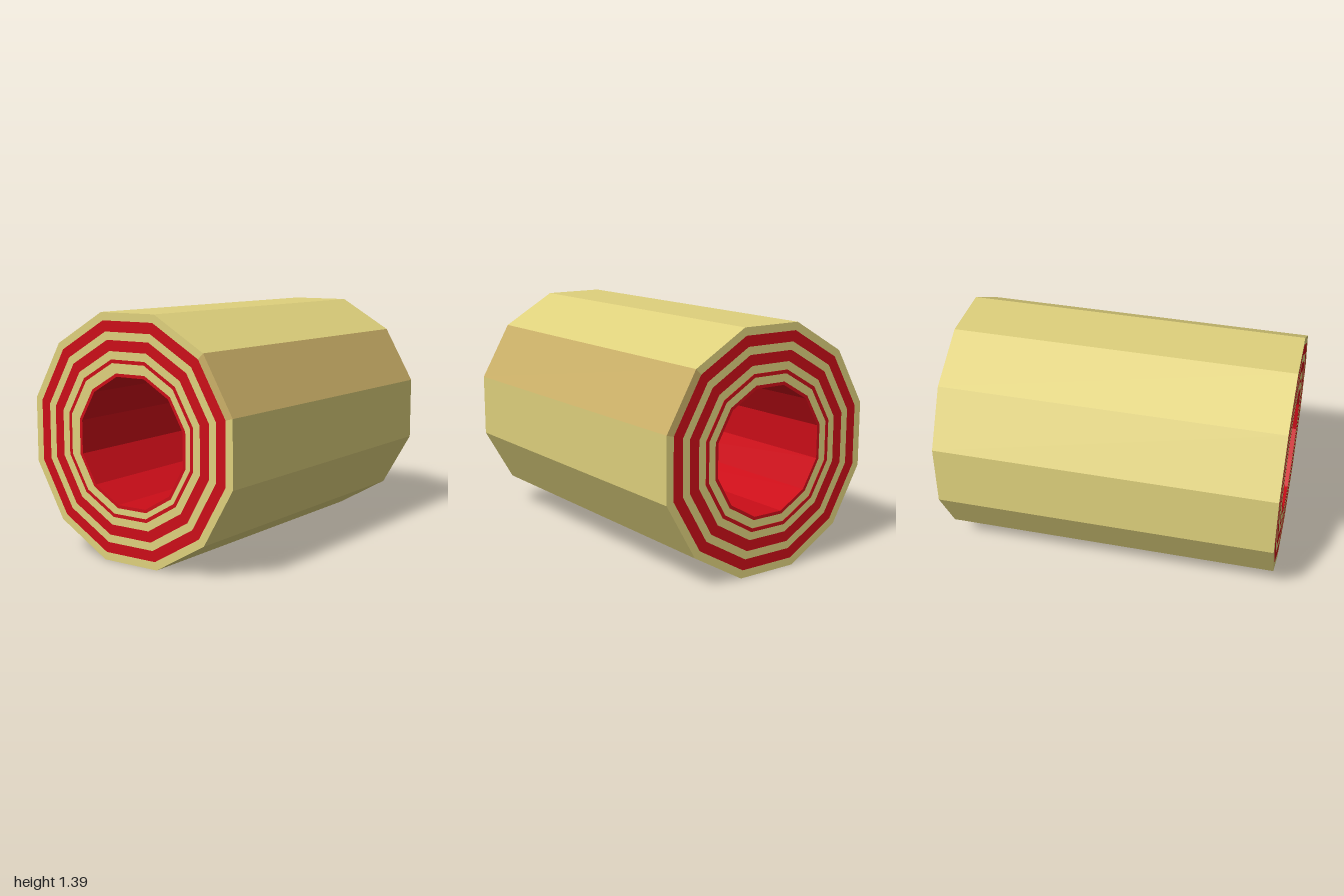
import * as THREE from 'three';

const SIDES = 12;
const CENTRE_Y = 0.695;
const CREAM = 0xded07c, RED = 0xcb0d18, TAN = 0xcbb068;

// Corner k of the twelve-sided outline with the given flat-face distance
function corner(apothem, k) {
  const a = ((k + 0.5) / SIDES) * Math.PI * 2;
  const r = apothem / Math.cos(Math.PI / SIDES);
  return new THREE.Vector2(Math.cos(a) * r, Math.sin(a) * r);
}

function corners(apothem, from, to) {
  const pts = [];
  for (let k = from; k <= to; k++) pts.push(corner(apothem, k));
  return pts;
}

// Closed ring, or only the faces between two corners
function ringShape(outer, inner, from, to) {
  if (from === undefined) {
    const shape = new THREE.Shape(corners(outer, 0, SIDES - 1));
    shape.holes.push(new THREE.Path(corners(inner, 0, SIDES - 1).reverse()));
    return shape;
  }
  return new THREE.Shape([...corners(outer, from, to), ...corners(inner, from, to).reverse()]);
}

// Layer lying along x, from x = -1 to xEnd
function layer(name, shape, color, xEnd = 0.997) {
  const geo = new THREE.ExtrudeGeometry(shape, { depth: xEnd + 1, bevelEnabled: false });
  geo.translate(0, 0, -1);
  geo.rotateY(Math.PI / 2);
  // The core runs slightly off axis towards its left-hand end
  const p = geo.attributes.position;
  for (let i = 0; i < p.count; i++) {
    if (Math.hypot(p.getY(i), p.getZ(i)) > 0.4) continue;
    const t = (1 - p.getX(i)) / 2;
    p.setY(i, p.getY(i) - 0.01 * t);
    p.setZ(i, p.getZ(i) + 0.015 * t);
  }
  geo.computeVertexNormals();
  const mesh = new THREE.Mesh(geo, new THREE.MeshStandardMaterial({ color, flatShading: true }));
  mesh.name = name;
  mesh.position.y = CENTRE_Y;
  return mesh;
}

export function createModel() {
  const group = new THREE.Group();
  group.name = 'layeredTube';

  // Outer skin: eleven cream faces and one tan face at the upper front
  group.add(layer('outerSkin', ringShape(0.695, 0.65, 5, 16), CREAM));
  group.add(layer('tanPanel', ringShape(0.695, 0.65, 4, 5), TAN));

  // Alternating inner layers, the third red one standing slightly proud
  const radii = [0.65, 0.59, 0.545, 0.485, 0.44, 0.42, 0.375, 0.357];
  for (let i = 0; i < radii.length - 1; i++) {
    const red = i % 2 === 0;
    const name = (red ? 'redLayer' : 'creamLayer') + (Math.floor(i / 2) + 1);
    group.add(layer(name, ringShape(radii[i], radii[i + 1]), red ? RED : CREAM, i === 4 ? 1 : 0.997));
  }
  return group;
}
